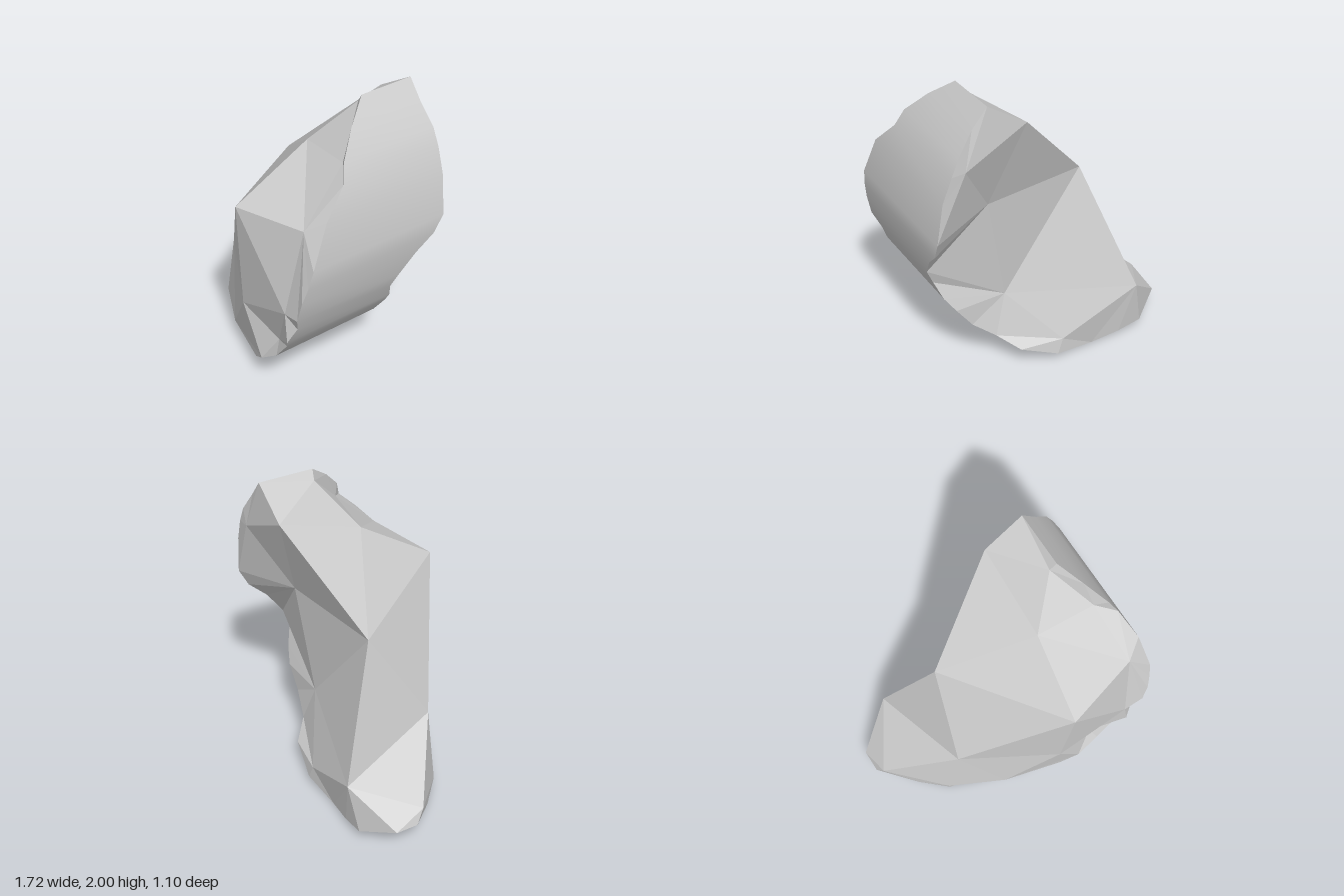
import * as THREE from 'three';

// Curved outer wall: x, y of the arc, then its front and back z limits
const ARC = [
  [-0.86, 0.14, -0.2, -0.35], [-0.65, 0.06, 0.01, -0.5], [-0.48, 0.03, 0.15, -0.5],
  [-0.28, 0, 0.2, -0.48], [0, 0.04, 0.33, -0.51], [0.25, 0.14, 0.44, -0.46],
  [0.37, 0.23, 0.48, -0.35], [0.52, 0.35, 0.47, -0.31], [0.63, 0.5, 0.47, -0.31],
  [0.7, 0.6, 0.52, -0.28], [0.75, 0.72, 0.48, -0.24], [0.8, 0.83, 0.52, -0.26],
  [0.83, 0.97, 0.51, -0.36], [0.85, 1.08, 0.48, -0.48], [0.86, 1.2, 0.45, -0.54],
  [0.82, 1.47, 0.33, -0.545], [0.76, 1.63, 0.17, -0.55], [0.71, 1.74, 0.13, -0.545],
  [0.61, 1.88, 0, -0.52], [0.51, 2, -0.15, -0.52],
];

// Corners of the broken faces
const CORNERS = {
  K: [-0.83, 0.23, -0.14], W: [-0.49, 0.1, 0.16], A: [-0.4, 0.58, 0.16], P: [-0.14, 0.13, 0.34],
  L: [0.19, 0.57, 0.49], M: [0.67, 0.8, 0.515], N: [0.48, 0.43, 0.42], E: [0.71, 1.38, 0.41],
  B: [0.22, 1.34, 0.55], C: [0.26, 1.65, 0.05], D: [0.47, 1.94, -0.16], F: [0.64, 1.69, 0.08],
  G: [-0.31, 1.22, -0.23], H: [0.25, 1.83, -0.52], J: [-0.58, 0.39, -0.54],
  R: [0.67, 1.635, -0.55], S: [0.42, 1.24, -0.35], T: [0.28, 0.5, -0.3], V: [-0.04, 0.14, -0.5],
};

// Fans "centre: rim"; f and b are the front and back rims of the arc
const FRONT = ['W: f1-f3 P A', 'P: f3-f6 L A', 'L: f6 N M B A', 'N: f6-f9 M',
  'M: f9-f11 E B', 'E: f11-f16 F C B', 'F: f16-f18 D C'];
const INNER = ['K: f0 f1 W A J b0 f0', 'D: f18 f19 b19 H C', 'C: H G B', 'G: J A B'];
const BACK = ['H: b19 R S G', 'R: b19-b14 S', 'S: b14-b11 T G', 'T: b11-b6 V J G',
  'V: b6-b3 J', 'J: b3-b0'];

function point(name) {
  if (CORNERS[name]) return CORNERS[name];
  const [x, y, zf, zb] = ARC[+name.slice(1)];
  return [x, y, name[0] === 'f' ? zf : zb];
}

// Turns "f3-f6" into f3 f4 f5 f6, in either direction
function expand(token) {
  const [from, to] = token.split('-');
  if (!to) return [from];
  const a = +from.slice(1), b = +to.slice(1), step = Math.sign(b - a);
  return Array.from({ length: Math.abs(b - a) + 1 }, (_, i) => from[0] + (a + i * step));
}

function makeMesh(name, positions, index, flatShading) {
  const geometry = new THREE.BufferGeometry();
  geometry.setAttribute('position', new THREE.Float32BufferAttribute(positions, 3));
  if (index) geometry.setIndex(index);
  geometry.computeVertexNormals();
  const mesh = new THREE.Mesh(geometry, new THREE.MeshStandardMaterial({ color: 0xcccccc, flatShading }));
  mesh.name = name;
  return mesh;
}

function brokenFace(name, fans) {
  const positions = [];
  for (const fan of fans) {
    const [centre, rim] = fan.split(': ');
    const names = rim.split(' ').flatMap(expand);
    for (let i = 0; i < names.length - 1; i++)
      positions.push(...point(centre), ...point(names[i]), ...point(names[i + 1]));
  }
  return makeMesh(name, positions, null, true);
}

function outerWall() {
  const positions = [], index = [];
  ARC.forEach(([x, y, zf, zb], i) => {
    positions.push(x, y, zf, x, y, zb);
    const f = 2 * i;
    if (i < ARC.length - 1) index.push(f + 2, f, f + 1, f + 2, f + 1, f + 3);
  });
  return makeMesh('curvedOuterWall', positions, index, false);
}

export function createModel() {
  const group = new THREE.Group();
  group.name = 'brokenStoneFragment';
  group.add(
    outerWall(),
    brokenFace('frontFracture', FRONT),
    brokenFace('innerFracture', INNER),
    brokenFace('backFracture', BACK),
  );
  return group;
}
